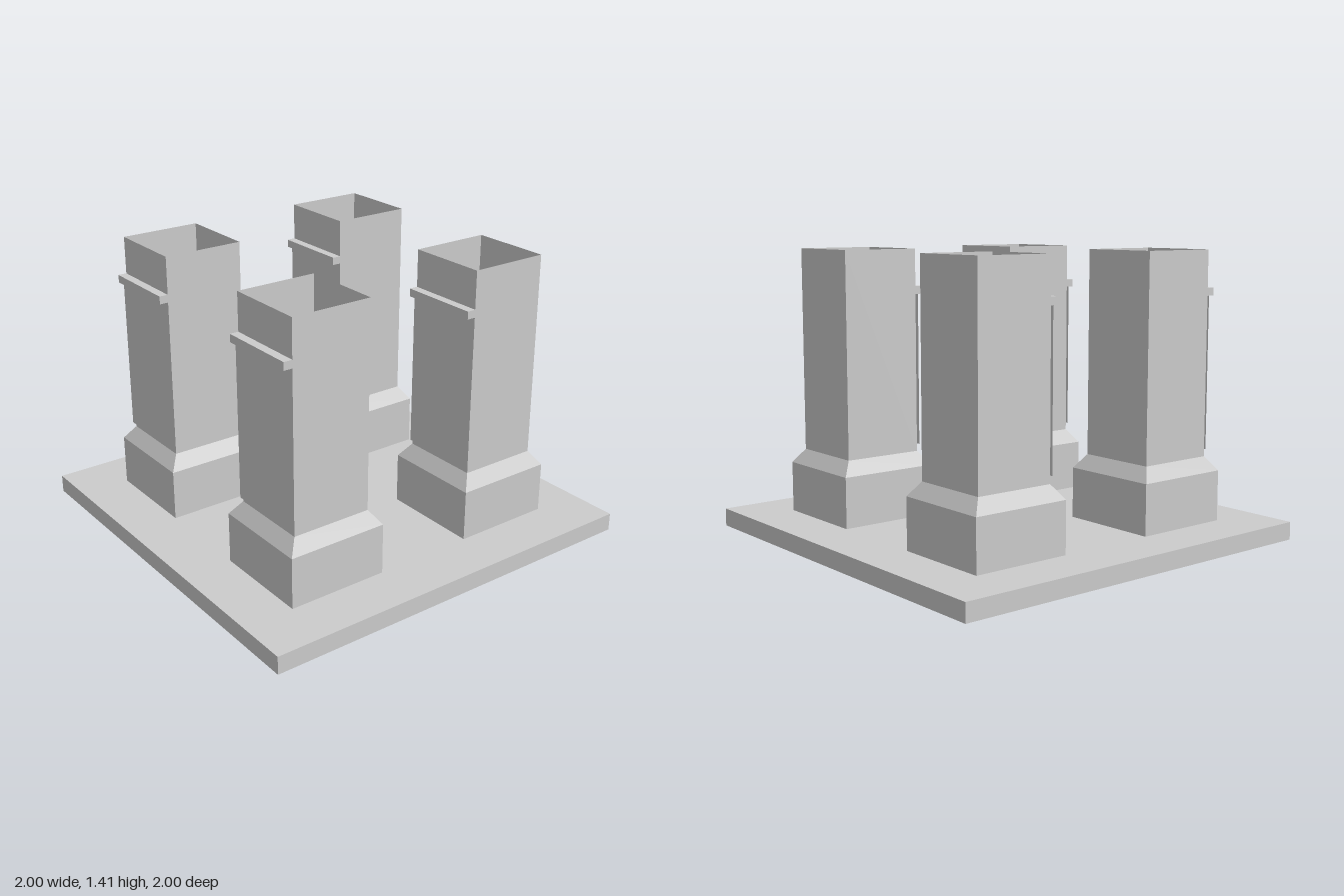
import * as THREE from 'three';

const material = new THREE.MeshStandardMaterial({
  color: 0xcccccc, flatShading: true, side: THREE.DoubleSide,
});

function part(name, geometry, x = 0, y = 0, z = 0) {
  const mesh = new THREE.Mesh(geometry, material);
  mesh.name = name;
  mesh.position.set(x, y, z);
  return mesh;
}

// Open square shell through [half width, y] profile points
function squareShell(profile) {
  const points = profile.map(([half, y]) => new THREE.Vector2(half * Math.SQRT2, y));
  return new THREE.LatheGeometry(points, 4, Math.PI / 4);
}

function square(target, cx, cy, half) {
  target.moveTo(cx - half, cy - half);
  target.lineTo(cx + half, cy - half);
  target.lineTo(cx + half, cy + half);
  target.lineTo(cx - half, cy + half);
  target.closePath();
  return target;
}

const SLAB = 0.088;
const CENTRES = [[-0.5, -0.5], [0.5, -0.5], [-0.5, 0.5], [0.5, 0.5]];

function createTower() {
  const tower = new THREE.Group();
  tower.name = 'tower';
  // Plinth, sloped shoulder and shaft, open at both ends
  tower.add(part('shaft', squareShell([[0.25, SLAB], [0.25, 0.337], [0.2, 0.406], [0.2, 1.408]])));
  // Thin sheet standing just off the front wall, below a ledge
  tower.add(part('frontPanel', new THREE.PlaneGeometry(0.38, 0.75), 0, 0.812, 0.222));
  tower.add(part('ledge', new THREE.BoxGeometry(0.4, 0.038, 0.043), 0, 1.206, 0.2215));
  return tower;
}

export function createModel() {
  const model = new THREE.Group();
  model.name = 'towersOnBase';

  // Base: top sheet with a hole under each tower, and a skirt open below
  const sheet = square(new THREE.Shape(), 0, 0, 1);
  for (const [x, z] of CENTRES) sheet.holes.push(square(new THREE.Path(), x, z, 0.25));
  const top = new THREE.ShapeGeometry(sheet).rotateX(-Math.PI / 2);
  model.add(part('baseTop', top, 0, SLAB, 0));
  model.add(part('baseSkirt', squareShell([[1, 0], [1, SLAB]])));

  for (const [x, z] of CENTRES) {
    const tower = createTower();
    tower.position.set(x, 0, z);
    model.add(tower);
  }
  return model;
}
